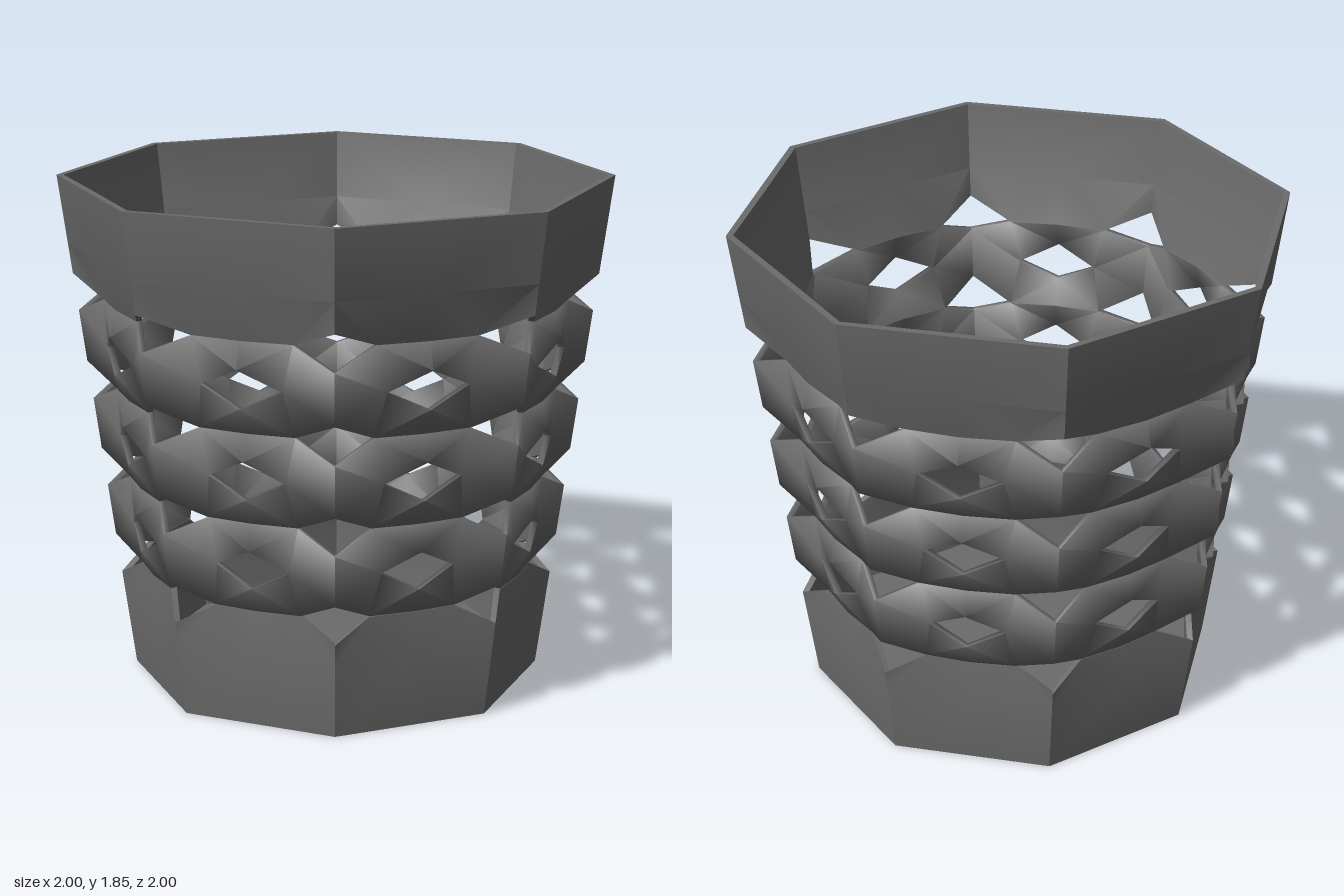
import * as THREE from 'three';
import { toCreasedNormals } from 'three/addons/utils/BufferGeometryUtils.js';

const SIDES = 8, HEIGHT = 1.85, WALL = 0.025;
const HALF = Math.PI / SIDES;
const radiusAt = (y) => 0.75 + (0.25 * y) / HEIGHT;

// A point on one half of a flat side: fraction across, height, inset from the flat side
const corner = (y) => [Math.sin(HALF), y, 0];
const middle = (y, inset = 0) => [0, y, inset];
const waist = (y) => [0.2, y, 0.055];
const holeSide = (y) => [0.164, y, 0.03];

// Repeats a half-side patch around the cup and gives it an inner skin and edge walls
function shell(triangles, crease) {
  const points = [], lookup = new Map(), faces = [], edges = new Map();
  const indexOf = ([f, y, inset], sign, angle) => {
    const r = radiusAt(y), a = r * (Math.cos(HALF) - inset), t = sign * f * r;
    const x = a * Math.sin(angle) + t * Math.cos(angle);
    const z = a * Math.cos(angle) - t * Math.sin(angle);
    const key = [x, y, z].map((v) => Math.round(v * 1e4)).join();
    if (!lookup.has(key)) {
      lookup.set(key, points.length);
      points.push(new THREE.Vector3(x, y, z));
    }
    return lookup.get(key);
  };
  for (let k = 0; k < SIDES; k++) {
    for (const sign of [-1, 1]) {
      for (const tri of triangles) {
        const f = tri.map((p) => indexOf(p, sign, (2 * k + 1) * HALF));
        faces.push(sign < 0 ? f : f.reverse());
      }
    }
  }
  const n = points.length, index = [];
  for (const [a, b, c] of faces) {
    index.push(a, b, c, c + n, b + n, a + n);
    for (const [p, q] of [[a, b], [b, c], [c, a]]) edges.set(p + '_' + q, [p, q]);
  }
  for (const [p, q] of edges.values()) {
    if (!edges.has(q + '_' + p)) index.push(q, p, p + n, q, p + n, q + n);
  }
  const inner = points.map((p) => {
    const s = 1 - WALL / Math.hypot(p.x, p.z);
    return new THREE.Vector3(p.x * s, p.y, p.z * s);
  });
  const geometry = new THREE.BufferGeometry().setFromPoints([...points, ...inner]);
  geometry.setIndex(index);
  return toCreasedNormals(geometry, crease);
}

// Solid band with one straight edge and one edge notched at the corners
function band(edgeY, rowY, notchY, waistY) {
  const c0 = corner(edgeY), m0 = middle(edgeY), c1 = corner(rowY), m1 = middle(rowY);
  const c2 = corner(notchY), s = waist(waistY), m2 = middle(waistY, 0.04);
  const tris = [[c0, m0, m1], [c0, m1, c1], [c1, s, c2], [c1, m1, s], [m1, m2, s]];
  if (edgeY > waistY) tris.forEach((t) => t.reverse());
  return shell(tris, 0.75);
}

// Lattice ring with a diamond hole in every side and notches at every corner
function latticeRing(y) {
  const c1 = corner(y - 0.095), c3 = corner(y + 0.095), h = holeSide(y);
  const s0 = waist(y - 0.165), s4 = waist(y + 0.165);
  const m0 = middle(y - 0.165, 0.04), m4 = middle(y + 0.165, 0.04);
  const mb = middle(y - 0.07), mt = middle(y + 0.07);
  return shell([
    [c1, s0, h], [s0, mb, h], [s0, m0, mb], [c1, h, c3],
    [c3, h, s4], [s4, h, mt], [s4, mt, m4],
  ], 1.75);
}

export function createModel() {
  const group = new THREE.Group();
  const grey = new THREE.MeshStandardMaterial({ color: 0x6b6b6b });
  grey.name = 'dark grey';
  const add = (name, geometry) => {
    const mesh = new THREE.Mesh(geometry, grey);
    mesh.name = name;
    group.add(mesh);
    return mesh;
  };

  add('baseBand', band(0, 0.28, 0.355, 0.43));
  add('rimBand', band(HEIGHT, 1.6, 1.49, 1.425));
  [0.597, 0.928, 1.259].forEach((y, i) => add('latticeRing' + (i + 1), latticeRing(y)));

  // Closed floor inside the base band
  const floor = new THREE.CylinderGeometry(0.732, 0.727, 0.04, SIDES);
  add('floor', toCreasedNormals(floor, 0.5)).position.y = 0.02;
  return group;
}
